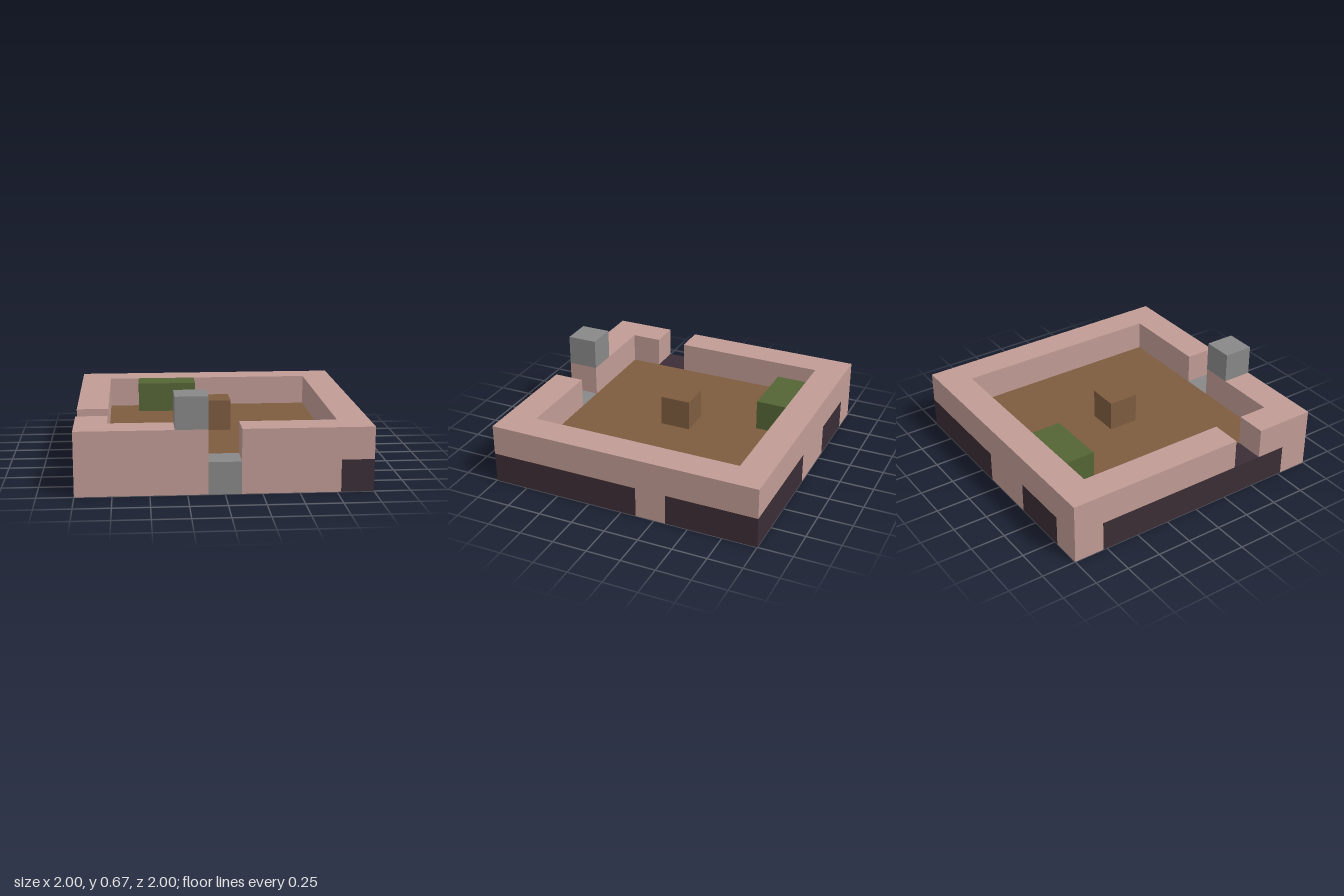
import * as THREE from 'three';

const U = 2 / 9; // one block of the 9 x 9 grid

const mat = (name, color) => new THREE.MeshStandardMaterial({ name, color });

export function createModel() {
  const pink = mat('pinkWall', 0xc09b94);
  const dark = mat('darkBase', 0x3b2d36);
  const brown = mat('brownEarth', 0x7d5c3f);
  const grey = mat('greyStone', 0x888888);
  const green = mat('greenBush', 0x546535);

  const model = new THREE.Group();
  model.name = 'courtyard';

  // Box filling the blocks from (x, y, z), with a size in blocks
  function block(name, material, x, y, z, w = 1, h = 1, d = 1) {
    const mesh = new THREE.Mesh(new THREE.BoxGeometry(w * U, h * U, d * U), material);
    mesh.position.set((x + w / 2 - 4.5) * U, (y + h / 2) * U, (z + d / 2 - 4.5) * U);
    mesh.name = name;
    model.add(mesh);
  }

  // Wall course along x or z, made of [start, length, material] runs
  function course(name, axis, y, line, runs) {
    for (const [start, length, material] of runs) {
      if (axis === 'x') block(name, material, start, y, line, length, 1, 1);
      else block(name, material, line, y, start, 1, 1, length);
    }
  }

  // Floor and the things standing on it
  block('floor', brown, 1, 0, 1, 7, 1, 7);
  block('centreBlock', brown, 4, 1, 4);
  block('bush', green, 2, 1, 1, 2, 1, 1);

  // Lower wall course
  course('frontBase', 'x', 0, 8, [[0, 4, pink], [4, 1, grey], [5, 3, pink], [8, 1, dark]]);
  course('backBase', 'x', 0, 0, [[0, 1, pink], [1, 2, dark], [3, 2, pink], [5, 4, dark]]);
  course('rightBase', 'z', 0, 0, [[1, 7, dark]]);
  course('leftBase', 'z', 0, 8, [[1, 2, dark], [3, 1, pink], [4, 4, dark]]);

  // Upper wall course, open at the front gate and the side gate
  course('frontWall', 'x', 1, 8, [[0, 4, pink], [5, 4, pink]]);
  course('backWall', 'x', 1, 0, [[0, 9, pink]]);
  course('rightWall', 'z', 1, 0, [[1, 5, pink], [7, 1, pink]]);
  course('leftWall', 'z', 1, 8, [[1, 7, pink]]);

  // Stone beside the front gate
  block('gateStone', grey, 3, 2, 8);

  return model;
}
